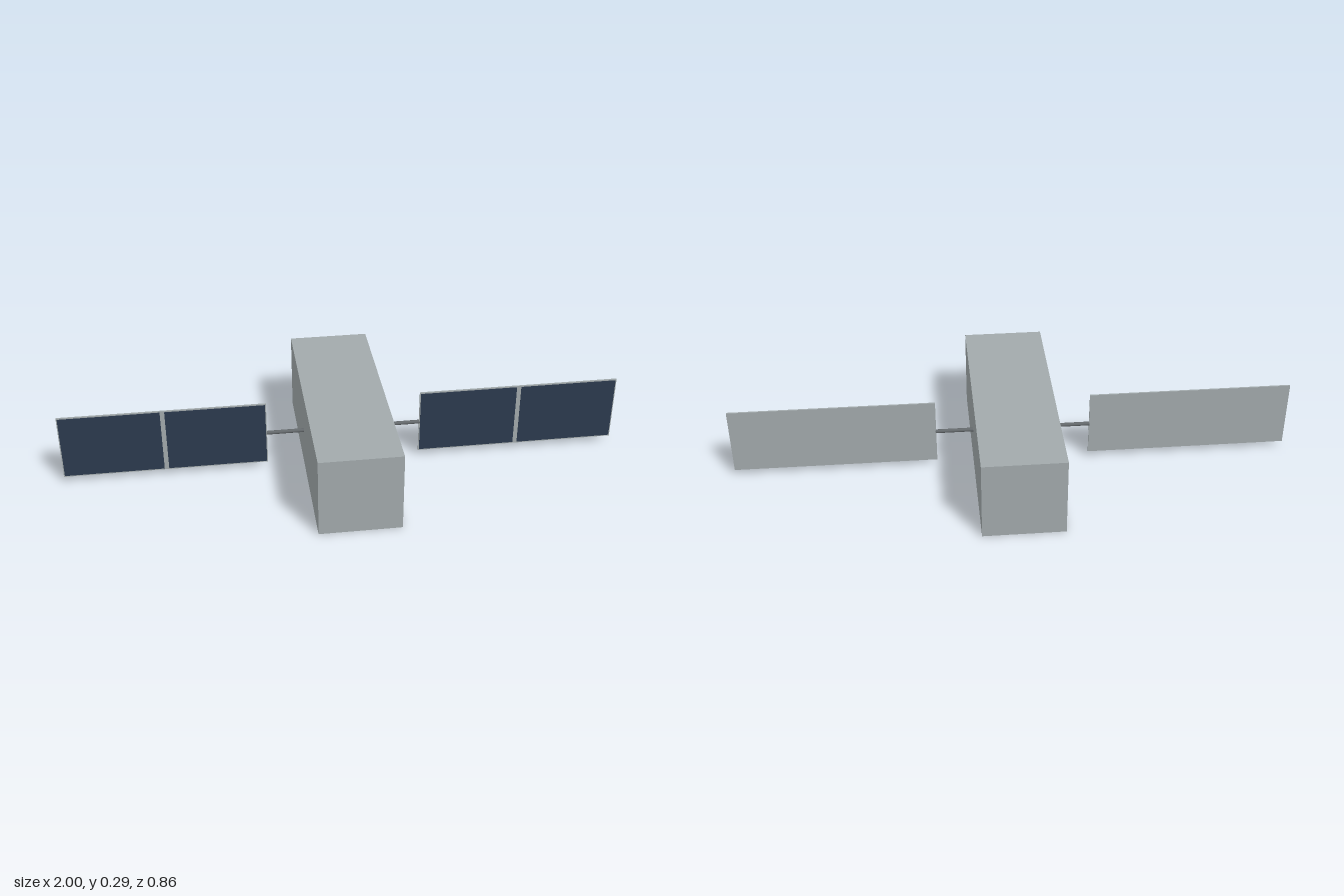
import * as THREE from 'three';

export function createModel() {
  const model = new THREE.Group();
  model.name = 'satellite';
  const hull = new THREE.MeshStandardMaterial({ name: 'hull grey', color: 0xa2aaac });
  const cell = new THREE.MeshStandardMaterial({ name: 'solar cell navy', color: 0x2c3a4e });
  const metal = new THREE.MeshStandardMaterial({ name: 'dark metal', color: 0x63686b });

  const add = (parent, name, geometry, material, x, y, z) => {
    const mesh = new THREE.Mesh(geometry, material);
    mesh.name = name;
    mesh.position.set(x, y, z);
    parent.add(mesh);
    return mesh;
  };

  const midY = 0.143;

  // Long square-section hull
  add(model, 'body', new THREE.BoxGeometry(0.286, 0.286, 0.856), hull, 0, midY, 0);

  // Mirrored solar wings: boom, backing panel, two cell plates on the front
  for (const side of [1, -1]) {
    const wing = new THREE.Group();
    wing.name = side > 0 ? 'leftWing' : 'rightWing';
    wing.position.y = midY;
    model.add(wing);

    const boom = add(wing, 'boom', new THREE.CylinderGeometry(0.007, 0.007, 0.14, 16), metal, side * 0.207, 0, 0);
    boom.rotation.z = Math.PI / 2;

    add(wing, 'panel', new THREE.BoxGeometry(0.725, 0.242, 0.006), hull, side * 0.6375, 0, 0);
    for (const half of [-1, 1]) {
      add(wing, 'solarCells', new THREE.BoxGeometry(0.351, 0.234, 0.002), cell,
        side * 0.6375 + half * 0.1835, 0, 0.003);
    }
  }
  return model;
}
